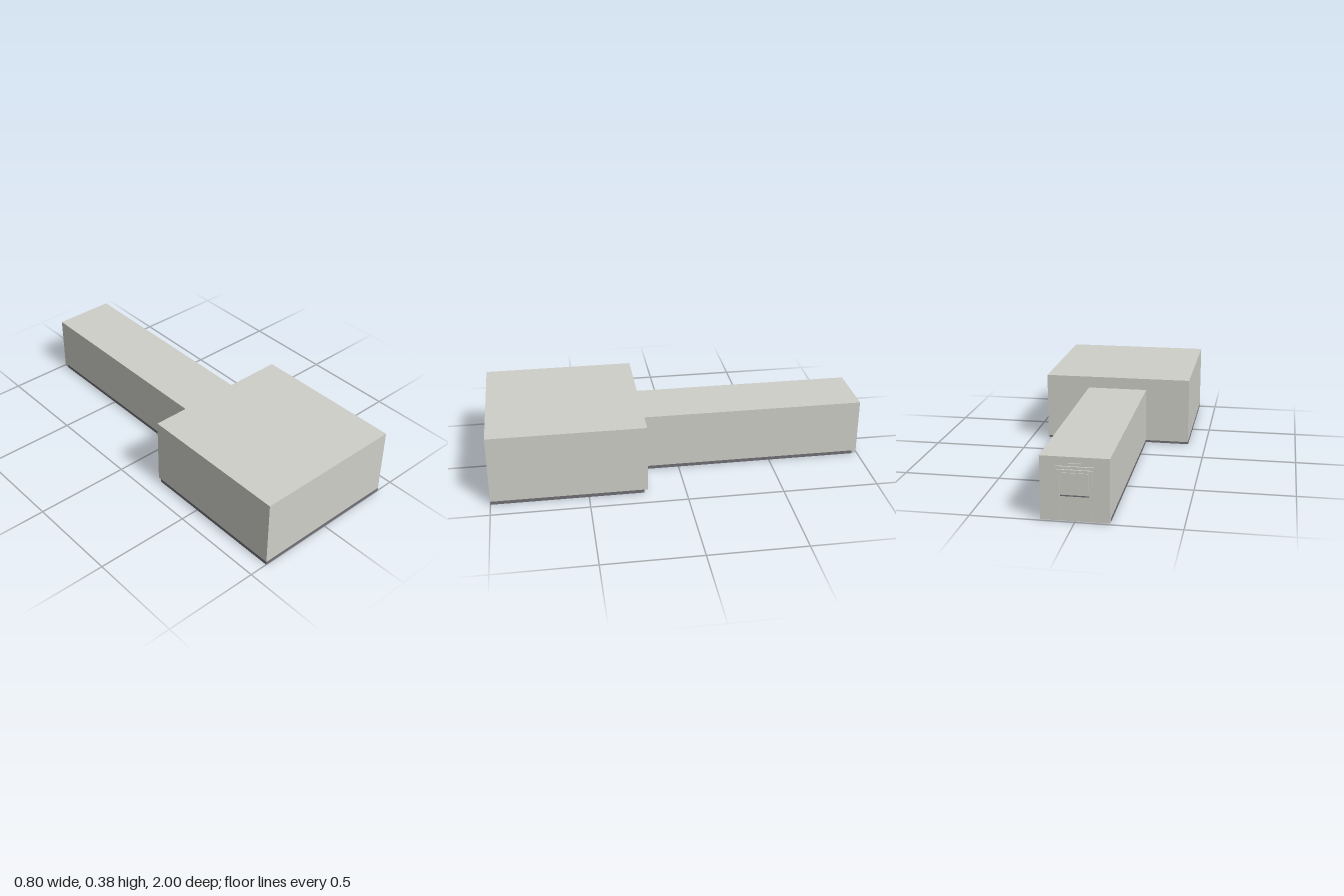
import * as THREE from 'three';

export function createModel() {
  const model = new THREE.Group();
  model.name = 'roomWithCorridor';
  const wall = new THREE.MeshStandardMaterial({ name: 'pale grey wall', color: 0xcfcfc9 });
  const floor = new THREE.MeshStandardMaterial({ name: 'dark grey floor', color: 0x707076 });

  // Box given by its extents along each axis
  function box(name, material, [x0, x1], [y0, y1], [z0, z1], parent = model) {
    const mesh = new THREE.Mesh(new THREE.BoxGeometry(x1 - x0, y1 - y0, z1 - z0), material);
    mesh.position.set((x0 + x1) / 2, (y0 + y1) / 2, (z0 + z1) / 2);
    mesh.name = name;
    parent.add(mesh);
    return mesh;
  }

  // Main room, its rear wall overhanging the floor slab
  box('room', wall, [-0.402, 0.402], [0.018, 0.375], [0.196, 1]);
  box('roomFloor', floor, [-0.402, 0.402], [0, 0.018], [0.215, 1]);

  // Corridor, closed by an end wall that reaches the ground
  box('corridor', wall, [-0.163, 0.163], [0.018, 0.312], [-0.97, 0.196]);
  box('corridorFloor', floor, [-0.163, 0.163], [0, 0.018], [-0.97, 0.18]);
  box('corridorEndWall', wall, [-0.163, 0.163], [0.002, 0.312], [-0.992, -0.97]);

  // Door on the corridor's end wall
  const door = new THREE.Group();
  door.name = 'endDoor';
  model.add(door);
  for (const s of [-1, 1]) {
    box('doorJamb', wall, s < 0 ? [-0.083, -0.07] : [0.07, 0.083], [0.02, 0.252], [-1, -0.992], door);
  }
  box('doorHead', wall, [-0.07, 0.07], [0.24, 0.252], [-1, -0.992], door);
  box('doorLintel', wall, [-0.09, 0.09], [0.262, 0.268], [-1, -0.992], door);
  box('doorLamp', wall, [-0.03, 0.03], [0.276, 0.284], [-0.998, -0.992], door);
  box('lowerPanel', wall, [-0.066, 0.066], [0.02, 0.124], [-0.996, -0.992], door);
  box('upperPanel', wall, [-0.066, 0.066], [0.13, 0.236], [-0.996, -0.992], door);
  box('doorRail', floor, [-0.066, 0.066], [0.124, 0.13], [-0.997, -0.992], door);

  return model;
}
